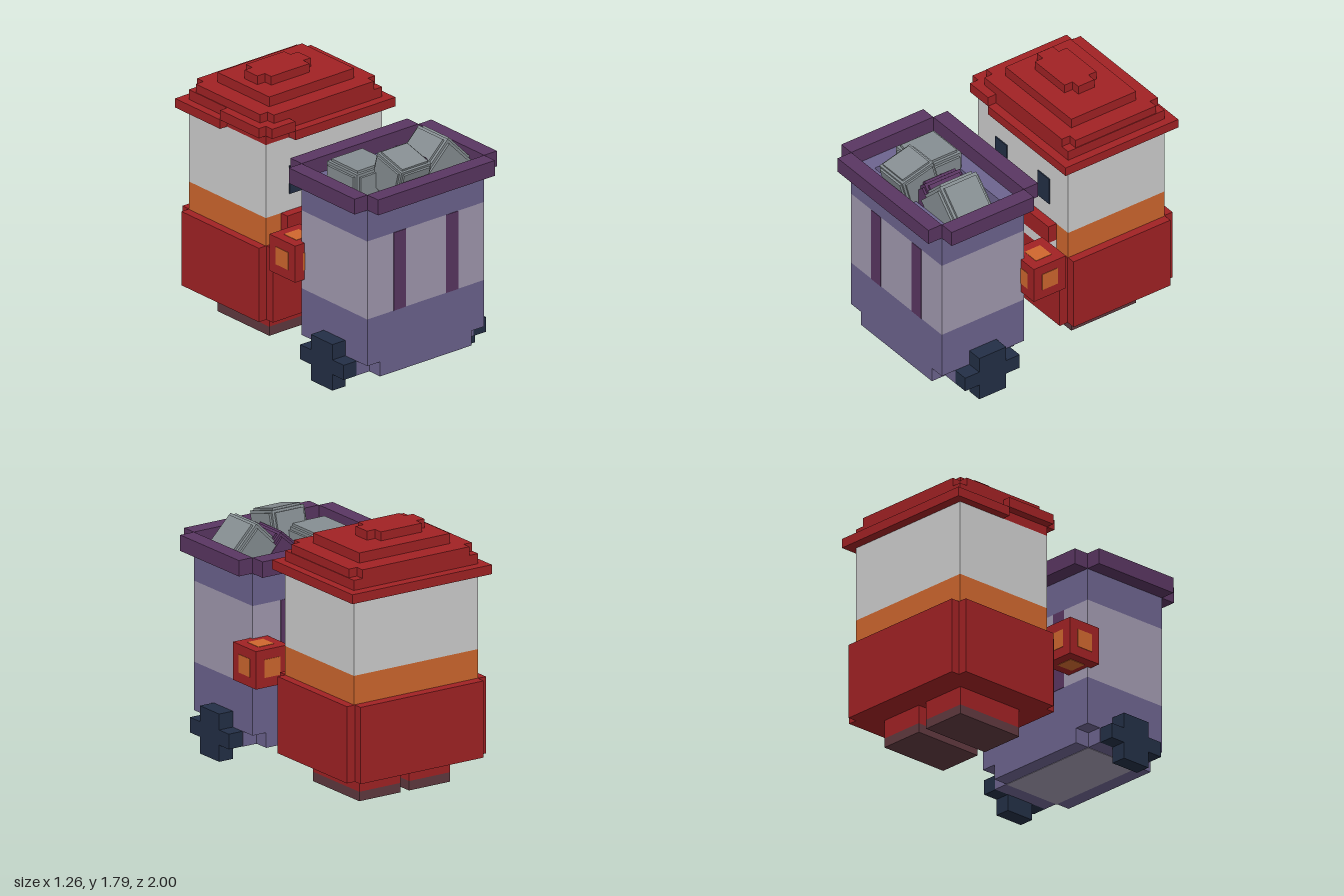
import * as THREE from 'three';

const mat = (name, color) => {
  const m = new THREE.MeshStandardMaterial({ color });
  m.name = name;
  return m;
};

export function createModel() {
  const model = new THREE.Group();
  const red = mat('red cloth', 0xa12224);
  const orange = mat('orange trim', 0xcf672e);
  const white = mat('off white', 0xcfcfcf);
  const purple = mat('cart purple', 0x6d648f);
  const lilac = mat('pale lilac', 0xa29ab0);
  const plum = mat('dark plum', 0x5a3662);
  const navy = mat('navy', 0x232f46);
  const sole = mat('sole brown', 0x60393f);
  const stone = mat('stone grey', 0x868e92);

  // Box given by its limits on each axis
  const box = (parent, name, m, x0, x1, y0, y1, z0, z1) => {
    const mesh = new THREE.Mesh(new THREE.BoxGeometry(x1 - x0, y1 - y0, z1 - z0), m);
    mesh.position.set((x0 + x1) / 2, (y0 + y1) / 2, (z0 + z1) / 2);
    mesh.name = name;
    parent.add(mesh);
    return mesh;
  };
  // Slab with a square notch cut from each upright corner
  const notched = (parent, name, m, x0, x1, y0, y1, z0, z1, n) => {
    box(parent, name, m, x0 + n, x1 - n, y0, y1, z0, z1);
    box(parent, name + 'Left', m, x1 - n, x1, y0, y1, z0 + n, z1 - n);
    box(parent, name + 'Right', m, x0, x0 + n, y0, y1, z0 + n, z1 - n);
  };
  const group = (name) => {
    const g = new THREE.Group();
    g.name = name;
    model.add(g);
    return g;
  };

  // ---- Figure pushing the cart ----
  const figure = group('figure');
  for (const [side, x0, x1] of [['right', -0.385, -0.055], ['left', 0.015, 0.345]]) {
    box(figure, side + 'Sole', sole, x0, x1, 0.015, 0.08, -0.8, -0.27);
    box(figure, side + 'Boot', red, x0, x1, 0.08, 0.21, -0.8, -0.27);
  }
  notched(figure, 'robe', red, -0.58, 0.54, 0.21, 0.74, -1, -0.08, 0.065);
  box(figure, 'scarf', orange, -0.52, 0.48, 0.74, 0.94, -0.93, -0.145);
  box(figure, 'head', white, -0.52, 0.48, 0.94, 1.465, -0.93, -0.145);
  box(figure, 'collarTrim', white, -0.39, 0.35, 0.74, 0.81, -0.145, -0.08);
  box(figure, 'collar', red, -0.39, 0.35, 0.81, 0.94, -0.145, -0.08);
  for (const x of [-0.32, 0.15]) box(figure, 'eye', navy, x, x + 0.13, 1.06, 1.26, -0.145, -0.137);

  // Stepped hat, with its brim turned up at the front right corner
  const hat = group('hat');
  box(hat, 'brim', red, -0.52, 0.54, 1.465, 1.53, -1, -0.145);
  box(hat, 'brimSide', red, -0.58, -0.52, 1.465, 1.53, -1, -0.54);
  box(hat, 'brimFront', red, -0.32, 0.54, 1.465, 1.53, -0.145, -0.08);
  box(hat, 'raisedBrimSide', red, -0.58, -0.52, 1.53, 1.6, -0.54, -0.145);
  box(hat, 'raisedBrimFront', red, -0.52, -0.32, 1.53, 1.6, -0.145, -0.08);
  box(hat, 'crownBase', red, -0.52, 0.48, 1.53, 1.6, -0.93, -0.145);
  notched(hat, 'crownStep', red, -0.515, 0.475, 1.6, 1.66, -0.93, -0.145, 0.065);
  box(hat, 'crownUpper', red, -0.385, 0.345, 1.66, 1.73, -0.8, -0.27);
  notched(hat, 'crownTop', red, -0.315, 0.145, 1.73, 1.792, -0.67, -0.41, 0.065);

  // Gloves: cubes with a thin orange patch on all six faces
  for (const [side, x, z] of [['right', -0.47, 0.118], ['left', 0.495, 0.112]]) {
    const glove = group(side + 'Glove');
    glove.position.set(x, 0.763, z);
    const h = 0.131, p = 0.063, t = h + 0.003;
    box(glove, 'hand', red, -h, h, -h, h, -h, h);
    box(glove, 'sidePatches', orange, -t, t, -p, p, -p, p);
    box(glove, 'topPatches', orange, -p, p, -t, t, -p, p);
    box(glove, 'frontPatches', orange, -p, p, -p, p, -t, t);
  }

  // ---- Cart ----
  const cart = group('cart');
  const L = -0.52, R = 0.485, B = 0.22, F = 0.89, w = 0.11;
  notched(cart, 'cartBase', purple, L, R, 0.12, 0.225, B, F, w);
  box(cart, 'undersideStripe', lilac, L + w, R - w, 0.117, 0.12, B + w, F - w);
  box(cart, 'lowerBody', purple, L, R, 0.225, 0.56, B, F);
  box(cart, 'paleBand', lilac, L, R, 0.56, 1.12, B, F);
  box(cart, 'upperBody', purple, L, R, 1.12, 1.235, B, F);
  for (const [z0, z1] of [[B, B + w], [F - w, F]]) box(cart, 'endWall', purple, L, R, 1.235, 1.345, z0, z1);
  for (const [x0, x1] of [[L, L + w], [R - w, R]]) box(cart, 'sideWall', purple, x0, x1, 1.235, 1.345, B + w, F - w);

  // Upright stripes on the front and back of the band
  for (const x of [-0.295, 0.155]) {
    box(cart, 'frontStripe', plum, x, x + 0.105, 0.56, 1.12, F, F + 0.003);
    box(cart, 'backStripe', plum, x, x + 0.105, 0.56, 1.12, B - 0.003, B);
  }

  // Rim bars outside the walls
  for (const [z0, z1] of [[B - 0.115, B], [F, 1]]) box(cart, 'rimEnd', plum, L, R, 1.345, 1.455, z0, z1);
  for (const [x0, x1] of [[L - w, L], [R, R + w]]) {
    box(cart, 'rimSide', plum, x0, x1, 1.345, 1.455, B, F);
    // Cross-shaped wheels
    box(cart, 'wheel', navy, x0, x1, 0.005, 0.335, 0.445, 0.665);
    box(cart, 'wheelSpokes', navy, x0, x1, 0.12, 0.225, 0.335, 0.78);
  }

  // ---- Load of stones: three crossed boxes each ----
  const rock = (name, m, s, x, y, z, rx, rz) => {
    const g = group(name);
    const a = s / 2, b = a * 0.78;
    box(g, 'stoneWide', m, -a, a, -b, b, -b, b);
    box(g, 'stoneTall', m, -b, b, -a, a, -b, b);
    box(g, 'stoneDeep', m, -b, b, -b, b, -a, a);
    box(g, 'stoneCore', m, -a * 0.9, a * 0.9, -a * 0.9, a * 0.9, -a * 0.9, a * 0.9);
    g.position.set(x, y, z);
    g.rotation.set(rx, 0, rz);
  };
  rock('backStone', stone, 0.34, -0.23, 1.315, 0.47, 0, 0);
  rock('frontStone', stone, 0.285, -0.09, 1.43, 0.725, 0.26, 0);
  rock('sideStone', stone, 0.33, 0.28, 1.375, 0.61, 0, -0.8);
  rock('darkStone', plum, 0.32, 0.08, 1.29, 0.6, 0, 0.72);

  return model;
}
